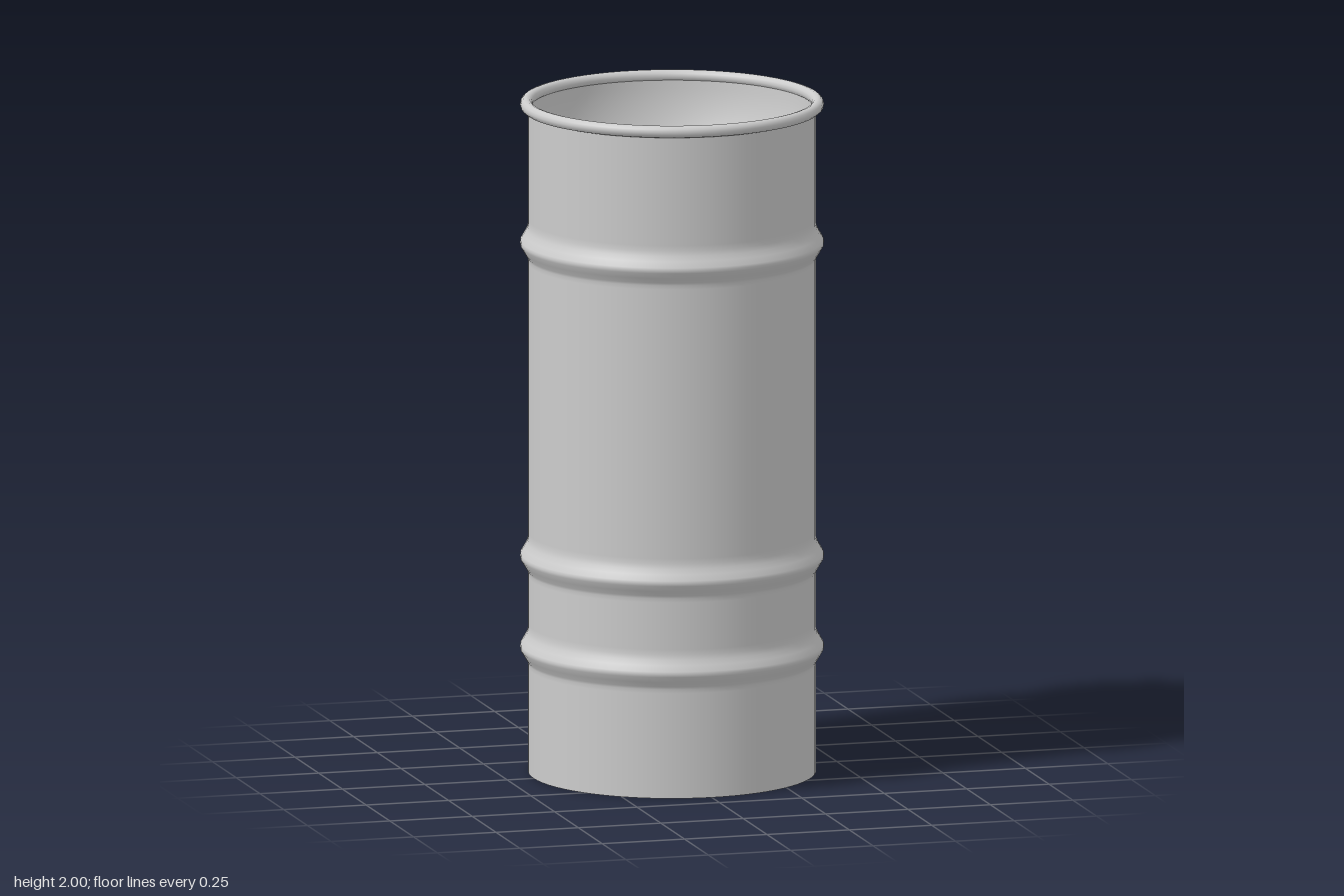
import * as THREE from 'three';

const SEGMENTS = 72;
const RADIUS = 0.42;

export function createModel() {
  const group = new THREE.Group();
  const material = new THREE.MeshStandardMaterial({ color: 0xcccccc, side: THREE.DoubleSide });

  const add = (name, geometry, y = 0) => {
    const mesh = new THREE.Mesh(geometry, material);
    mesh.name = name;
    mesh.position.y = y;
    group.add(mesh);
  };

  // Thin open tube with three pressed ribs
  const profile = [new THREE.Vector2(RADIUS, 0)];
  const ribShape = [
    [-0.048, 0], [-0.04, 0.003], [-0.025, 0.012], [-0.008, 0.022],
    [0, 0.023], [0.008, 0.022], [0.025, 0.012], [0.04, 0.004], [0.055, 0],
  ];
  for (const y of [0.372, 0.642, 1.572]) {
    profile.push(new THREE.Vector2(RADIUS, y - 0.06));
    for (const [dy, dr] of ribShape) profile.push(new THREE.Vector2(RADIUS + dr, y + dy));
    profile.push(new THREE.Vector2(RADIUS, y + 0.07));
  }
  profile.push(new THREE.Vector2(RADIUS, 1.98));
  add('ribbedTube', new THREE.LatheGeometry(profile, SEGMENTS));

  // Rolled top lip
  const lip = new THREE.TorusGeometry(0.425, 0.018, 12, SEGMENTS);
  lip.rotateX(Math.PI / 2);
  add('topLip', lip, 1.982);

  // Concave reflector bowl inside the top
  const bowl = [];
  for (let i = 0; i <= 20; i++) {
    const a = (i / 20) * Math.PI / 2;
    bowl.push(new THREE.Vector2(0.412 * Math.sin(a), 1.98 - 0.43 * Math.cos(a)));
  }
  add('reflectorBowl', new THREE.LatheGeometry(bowl, SEGMENTS));

  // Round bulb in the middle of the bowl
  const bulb = new THREE.SphereGeometry(0.08, 32, 20);
  bulb.translate(0.008, 0, 0.007);
  add('bulb', bulb, 1.62);

  return group;
}
